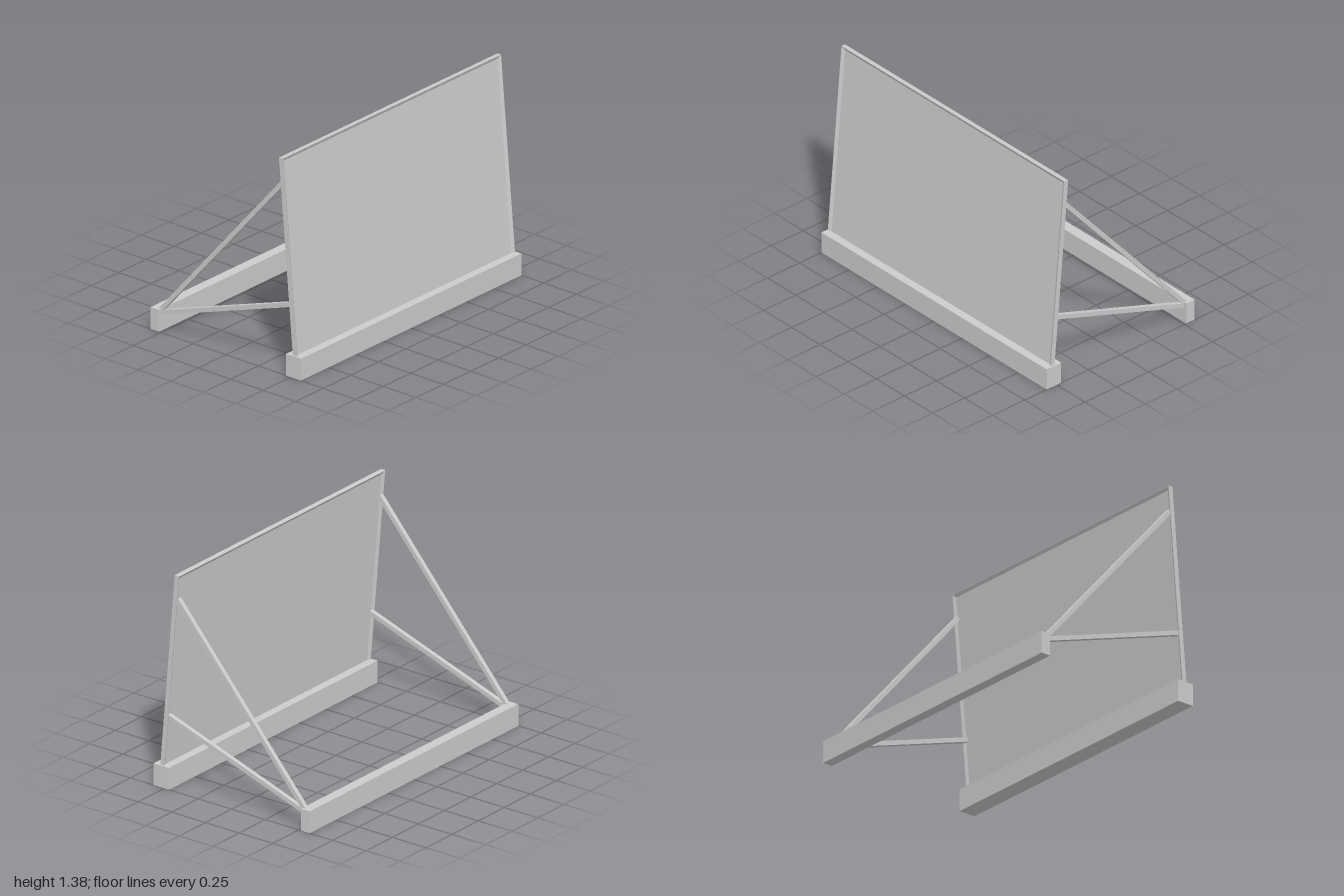
import * as THREE from 'three';

const material = new THREE.MeshStandardMaterial({ color: 0xcccccc, flatShading: true });

function addBox(group, name, w, h, d, x, y, z, tilt = 0) {
  const mesh = new THREE.Mesh(new THREE.BoxGeometry(w, h, d), material);
  mesh.name = name;
  mesh.position.set(x, y, z);
  mesh.rotation.z = tilt;
  group.add(mesh);
}

// Upright slab with a shallow bevelled recess in both faces, hanging down from its origin
function panelGeometry(height, halfWidth, thickness) {
  const t = thickness / 2;
  const profile = [[0.022, -0.004], [0.003, -t], [0, -t], [0, t], [0.003, t], [0.022, 0.004]]; // inset, x
  const rings = profile.map(([i, x]) => [
    [x, -height + i, -halfWidth + i], [x, -i, -halfWidth + i],
    [x, -i, halfWidth - i], [x, -height + i, halfWidth - i],
  ]);
  const positions = [];
  const quad = (a, b, c, d) => positions.push(...a, ...b, ...c, ...a, ...c, ...d);
  for (let r = 0; r < rings.length - 1; r++) {
    for (let k = 0; k < 4; k++) {
      const n = (k + 1) % 4;
      quad(rings[r][k], rings[r + 1][k], rings[r + 1][n], rings[r][n]);
    }
  }
  const [a, b, c, d] = rings[0];
  quad(d, c, b, a);
  quad(...rings[rings.length - 1]);
  const geometry = new THREE.BufferGeometry();
  geometry.setAttribute('position', new THREE.Float32BufferAttribute(positions, 3));
  // Corner order above runs inward, so flip every triangle
  const index = [];
  for (let i = 0; i < positions.length / 3; i += 3) {
    const capStart = (rings.length - 1) * 24;
    if (i < capStart) index.push(i, i + 2, i + 1);
    else index.push(i, i + 1, i + 2);
  }
  geometry.setIndex(index);
  const p = geometry.toNonIndexed();
  p.computeVertexNormals();
  return p;
}

export function createModel() {
  const group = new THREE.Group();

  // Ground beams
  addBox(group, 'rearBeam', 0.065, 0.14, 2, -0.547, 0.07, 0);
  addBox(group, 'panelBeam', 0.113, 0.14, 2, 0.521, 0.07, 0);

  // Leaning panel
  const panel = new THREE.Mesh(panelGeometry(1.29, 0.99, 0.029), material);
  panel.name = 'panel';
  panel.position.set(0.415, 1.379, 0);
  panel.rotation.z = 0.086;
  group.add(panel);

  // Struts bracing the panel at both ends
  const struts = [
    ['upperStrut', -0.523, 0.13, 0.422, 1.222],
    ['lowerStrut', -0.53, 0.112, 0.49, 0.456],
  ];
  for (const side of [-1, 1]) {
    for (const [name, x0, y0, x1, y1] of struts) {
      addBox(group, name, Math.hypot(x1 - x0, y1 - y0), 0.028, 0.028,
        (x0 + x1) / 2, (y0 + y1) / 2, side * 0.967, Math.atan2(y1 - y0, x1 - x0));
    }
  }
  return group;
}
